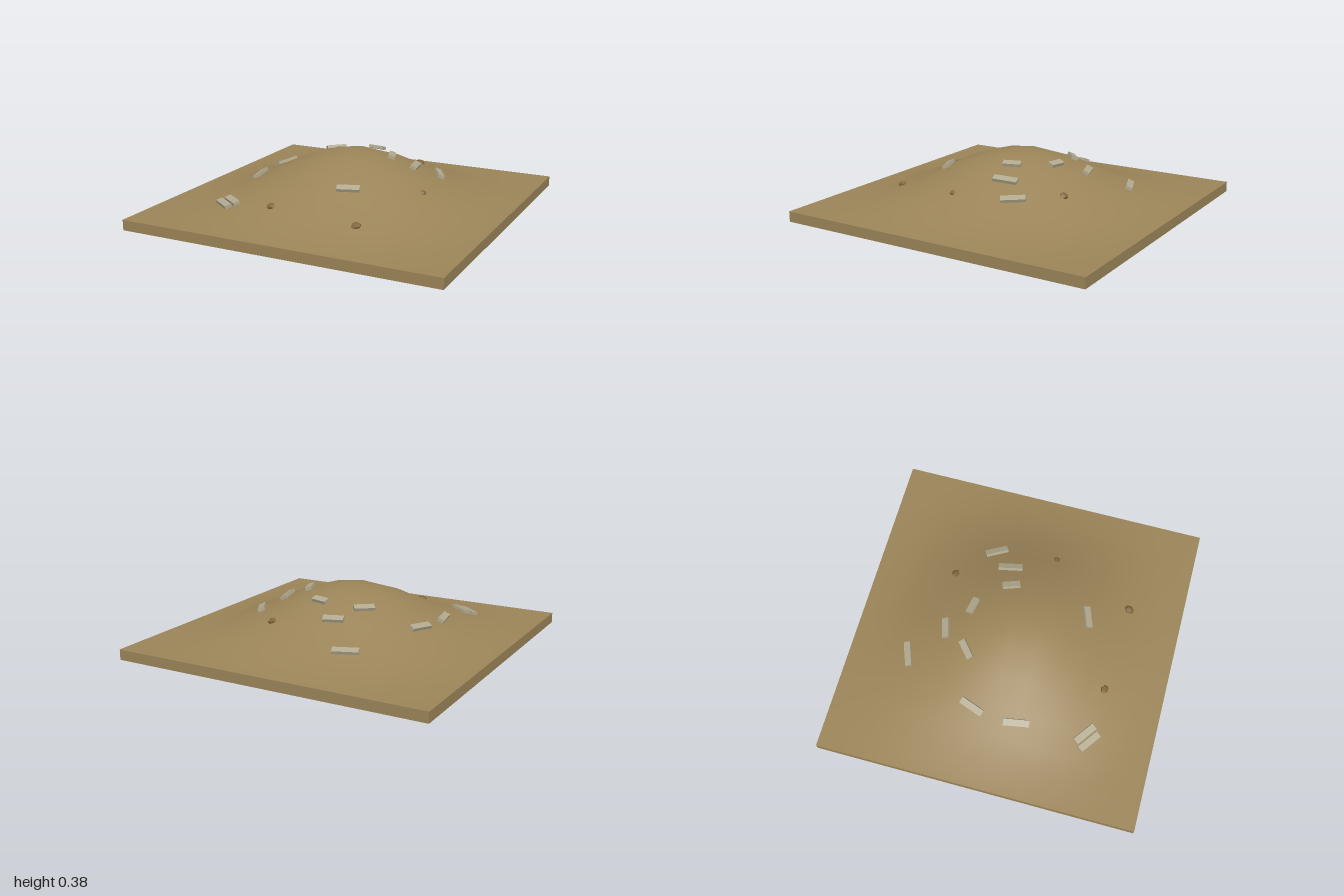
import * as THREE from 'three';

const BASE = 0.065, RISE = 0.31, CELLS = 12;

const bump = (t) => 0.5 * (1 + Math.cos(Math.PI * t));
const height = (x, z) => BASE + RISE * bump(x) * bump(z);

// Upward normal of the hill at a point
function normalAt(x, z) {
  const e = 0.01;
  return new THREE.Vector3(
    height(x - e, z) - height(x + e, z),
    2 * e,
    height(x, z - e) - height(x, z + e)
  ).normalize();
}

// Smooth mound on a regular grid, diagonals running from back left to front right
function moundGeometry() {
  const pos = [], idx = [], row = CELLS + 1;
  for (let j = 0; j <= CELLS; j++) {
    for (let i = 0; i <= CELLS; i++) {
      const x = -1 + (2 * i) / CELLS, z = -1 + (2 * j) / CELLS;
      pos.push(x, height(x, z), z);
    }
  }
  for (let j = 0; j < CELLS; j++) {
    for (let i = 0; i < CELLS; i++) {
      const a = j * row + i, b = a + 1, c = a + row, d = c + 1;
      idx.push(a, c, d, a, d, b);
    }
  }
  const g = new THREE.BufferGeometry();
  g.setAttribute('position', new THREE.Float32BufferAttribute(pos, 3));
  g.setIndex(idx);
  g.computeVertexNormals();
  return g;
}

// Sits an object on the slope, its long x axis following the ground direction (dx, dz)
function placeOnHill(obj, x, z, dx, dz, lift) {
  const n = normalAt(x, z);
  const side = new THREE.Vector3(-dz, 0, dx).normalize();
  const along = new THREE.Vector3().crossVectors(n, side).normalize();
  side.crossVectors(along, n);
  obj.quaternion.setFromRotationMatrix(new THREE.Matrix4().makeBasis(along, n, side));
  obj.position.set(x, height(x, z), z).addScaledVector(n, lift);
}

export function createModel() {
  const model = new THREE.Group();
  model.name = 'mound';
  const earth = new THREE.MeshStandardMaterial({ color: 0x9b8458 });
  const slabStone = new THREE.MeshStandardMaterial({ color: 0xb0a88e });
  const rubble = new THREE.MeshStandardMaterial({ color: 0x80663c, flatShading: true });

  // Ground slab: four walls and an underside, closed above by the mound
  const slab = new THREE.Mesh(new THREE.BoxGeometry(2, BASE - 0.001, 2), earth);
  slab.name = 'groundSlab';
  slab.position.y = (BASE - 0.001) / 2;
  model.add(slab);

  const hill = new THREE.Mesh(moundGeometry(), earth);
  hill.name = 'hill';
  model.add(hill);

  // Flat slabs scattered on the slopes: x, z, direction x, direction z, length
  const slabs = [
    [-0.31, -0.61, 29, -11, 0.155],
    [-0.12, -0.413, 24, -7, 0.125],
    [-0.233, -0.247, 20, -17, 0.125],
    [0.043, -0.283, 20, 4, 0.105],
    [0.23, -0.09, 6, 17, 0.11],
    [0.37, -0.133, 5, 26, 0.15],
    [0.483, -0.256, 14, 24, 0.145],
    [-0.543, -0.128, -9, 26, 0.155],
    [-0.567, 0.156, 5, 28, 0.16],
    [0.18, 0.412, 25, -9, 0.135],
    [-0.513, 0.573, 26, 19, 0.15],
    [-0.55, 0.61, 26, 19, 0.15],
  ];
  for (const [x, z, dx, dz, len] of slabs) {
    const stone = new THREE.Mesh(new THREE.BoxGeometry(len, 0.02, 0.042), slabStone);
    stone.name = 'stoneSlab';
    placeOnHill(stone, x, z, dx, dz, 0.01);
    model.add(stone);
  }

  // Small loose rocks: x, z, radius
  const rocks = [
    [0.27, -0.47, 0.029],
    [0.535, 0.13, 0.021],
    [-0.215, 0.625, 0.029],
    [0.35, 0.655, 0.032],
  ];
  rocks.forEach(([x, z, r], i) => {
    const rock = new THREE.Mesh(new THREE.DodecahedronGeometry(r, 0), rubble);
    rock.name = 'rock';
    rock.scale.set(1, 0.55, 0.9);
    placeOnHill(rock, x, z, Math.cos(i * 1.7), Math.sin(i * 1.7), 0.003);
    model.add(rock);
  });

  return model;
}
